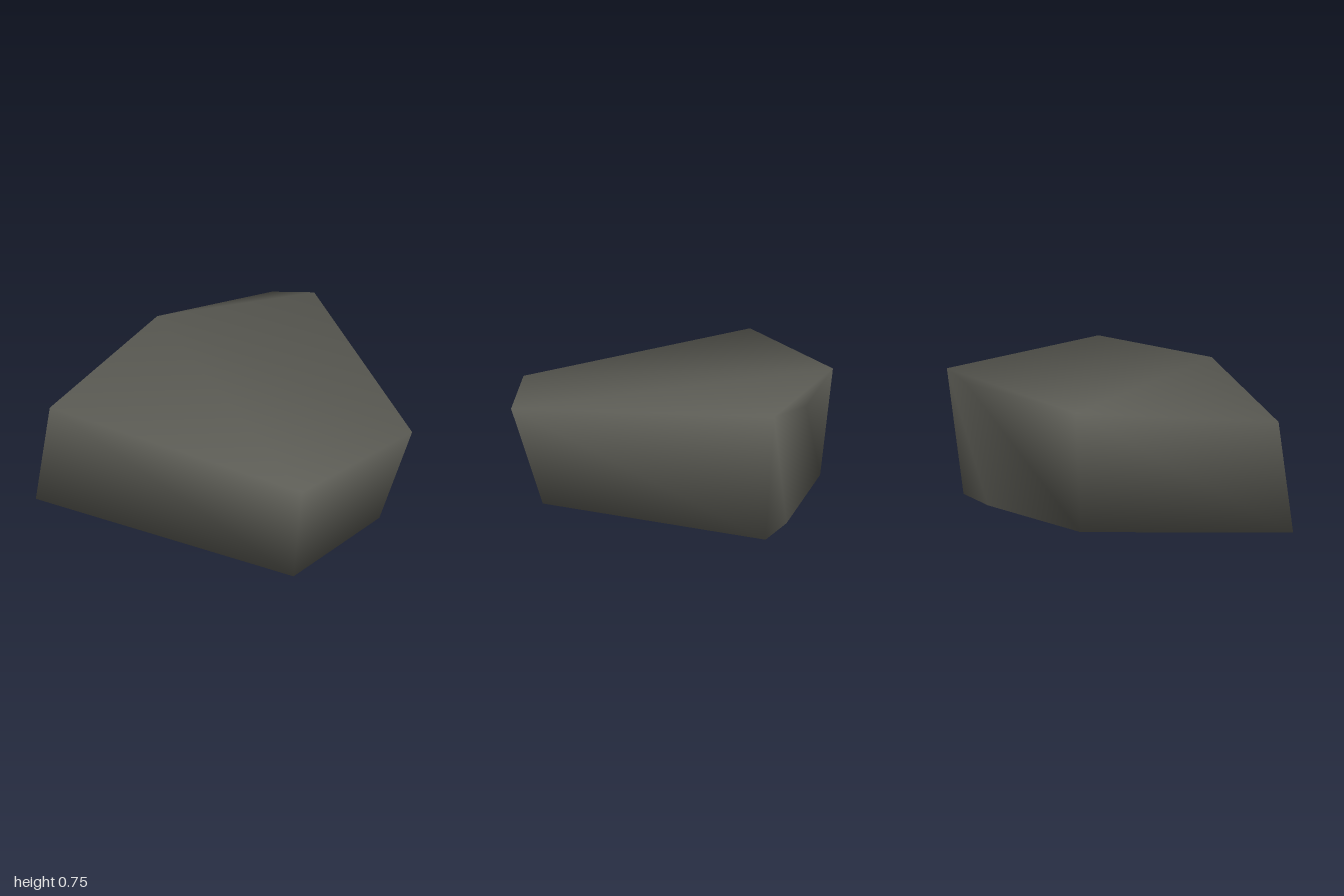
import * as THREE from 'three';

// Outline corners [x, y, z], clockwise from above starting at the left rear
const upper = [
  [-0.79, 0.69, -0.30], [-0.26, 0.735, -0.80], [-0.01, 0.75, -0.87],
  [1.00, 0.625, 0.21], [0.64, 0.54, 0.855], [-0.90, 0.605, 0.76],
];
const lower = [
  [-0.75, 0.015, -0.27], [-0.23, 0.005, -0.69], [-0.02, 0.005, -0.80],
  [0.84, 0.015, 0.20], [0.605, 0, 0.865], [-1.00, 0.015, 0.83],
];

// Skin two closed rings with walls and caps, sharing corners for smooth shading
function rockGeometry(top, bottom) {
  const n = top.length;
  const index = [];
  for (let i = 0; i < n; i++) {
    const j = (i + 1) % n;
    index.push(n + i, i, j, n + i, j, n + j);
  }
  for (let i = 1; i < n - 1; i++) {
    index.push(0, i + 1, i);
    index.push(n, n + i, n + i + 1);
  }
  const geometry = new THREE.BufferGeometry();
  geometry.setAttribute('position', new THREE.Float32BufferAttribute([...top, ...bottom].flat(), 3));
  geometry.setIndex(index);
  geometry.computeVertexNormals();
  return geometry;
}

export function createModel() {
  const group = new THREE.Group();
  group.name = 'rock';
  const stone = new THREE.MeshStandardMaterial({ color: 0x5c5c55 });
  stone.name = 'dark grey stone';

  // Slab-like boulder
  const boulder = new THREE.Mesh(rockGeometry(upper, lower), stone);
  boulder.name = 'boulder';
  group.add(boulder);
  return group;
}
